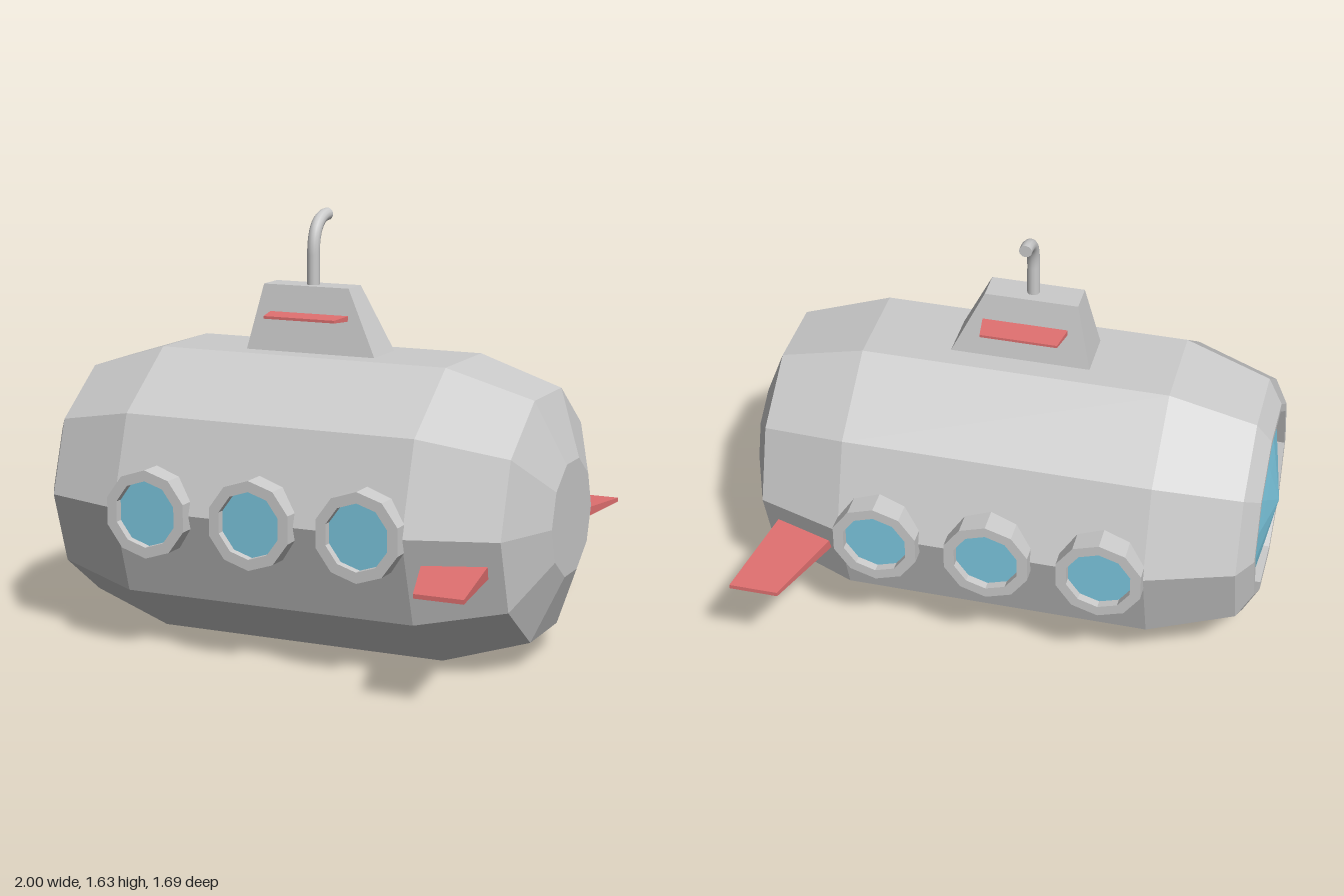
import * as THREE from 'three';

const material = (color, options = {}) => new THREE.MeshStandardMaterial({ color, ...options });
const SIDES = 10;
const MID = 0.55; // height of the hull axis

export function createModel() {
  const model = new THREE.Group();
  const grey = material(0xcccccc, { flatShading: true });
  const smoothGrey = material(0xcccccc);
  const red = material(0xe07070, { flatShading: true });
  const blue = material(0x7cc8e0, { flatShading: true });

  const add = (parent, name, geometry, mat) => {
    const mesh = new THREE.Mesh(geometry, mat);
    mesh.name = name;
    parent.add(mesh);
    return mesh;
  };
  const lathe = (points) =>
    new THREE.LatheGeometry(points.map(([r, h]) => new THREE.Vector2(r, h)), SIDES);

  // Box whose corners (-1..1 on each axis) are moved by a rule
  const block = (rule) => {
    const geometry = new THREE.BoxGeometry(2, 2, 2);
    const p = geometry.attributes.position;
    for (let i = 0; i < p.count; i++) p.setXYZ(i, ...rule(p.getX(i), p.getY(i), p.getZ(i)));
    geometry.computeVertexNormals();
    return geometry;
  };
  const lerp = THREE.MathUtils.lerp;

  // Flat fin tapering from root to tip; side is +1 or -1 along z
  const fin = (side, y, root, tip) => block((x, v, z) => {
    const t = (side * z + 1) / 2;
    const u = (x + 1) / 2;
    return [
      lerp(lerp(root.x0, root.x1, u), lerp(tip.x0, tip.x1, u), t),
      y + v * lerp(root.half, tip.half, t),
      side * lerp(root.z, tip.z, t),
    ];
  });

  // Ten-sided hull along x, with an open lip around the nose window
  const hull = add(model, 'hull', lathe([
    [0.35, -0.92], [0.35, -0.967], [0.38, -0.967], [0.472, -0.912], [0.578, -0.59],
    [0.578, 0.57], [0.472, 0.9], [0.22, 1], [0, 1],
  ]), grey);
  const nose = add(model, 'noseWindow', lathe([[0, -1], [0.17, -0.967], [0.35, -0.93]]), blue);
  for (const part of [hull, nose]) {
    part.rotation.z = -Math.PI / 2;
    part.position.y = MID;
  }

  // Three portholes on each side
  const ringGeometry = lathe([
    [0.166, 0.47], [0.166, 0.62], [0.125, 0.62], [0.125, 0.58],
  ]).rotateX(Math.PI / 2);
  const paneGeometry = new THREE.CircleGeometry(0.126, SIDES, Math.PI / 2);
  for (const side of [1, -1]) {
    for (const x of [-0.433, -0.01, 0.415]) {
      const porthole = new THREE.Group();
      porthole.name = 'porthole';
      porthole.position.set(x, MID, 0);
      porthole.rotation.y = side > 0 ? 0 : Math.PI;
      add(porthole, 'portholeRing', ringGeometry, grey);
      add(porthole, 'portholeGlass', paneGeometry, blue).position.z = 0.588;
      model.add(porthole);
    }
  }

  // Tower with sloping walls
  add(model, 'tower', block((x, y, z) => {
    const t = (y + 1) / 2;
    const u = (x + 1) / 2;
    return [
      lerp(lerp(-0.277, 0.257, u), lerp(-0.22, 0.13, u), t),
      lerp(1.09, 1.347, t),
      z * lerp(0.096, 0.056, t),
    ];
  }), grey);

  // Stern fins and small tower fins
  for (const side of [1, -1]) {
    add(model, 'sternFin', fin(side, 0.431,
      { x0: 0.595, x1: 0.845, z: 0.44, half: 0.024 },
      { x0: 0.725, x1: 0.91, z: 0.843, half: 0.008 }), red);
    add(model, 'towerFin', fin(side, 1.236,
      { x0: -0.188, x1: 0.137, z: 0.06, half: 0.011 },
      { x0: -0.168, x1: 0.122, z: 0.168, half: 0.005 }), red);
  }

  // Periscope: upright pipe bending toward the back
  const path = new THREE.CurvePath();
  const at = (y, z) => new THREE.Vector3(-0.04, y, z);
  path.add(new THREE.LineCurve3(at(1.33, 0), at(1.46, 0)));
  path.add(new THREE.CubicBezierCurve3(at(1.46, 0), at(1.56, 0), at(1.602, -0.05), at(1.602, -0.125)));
  add(model, 'periscope', new THREE.TubeGeometry(path, 24, 0.024, 12), smoothGrey);
  const end = add(model, 'periscopeEnd', new THREE.CircleGeometry(0.024, 12), smoothGrey);
  end.position.copy(at(1.602, -0.125));
  end.rotation.y = Math.PI;

  return model;
}
